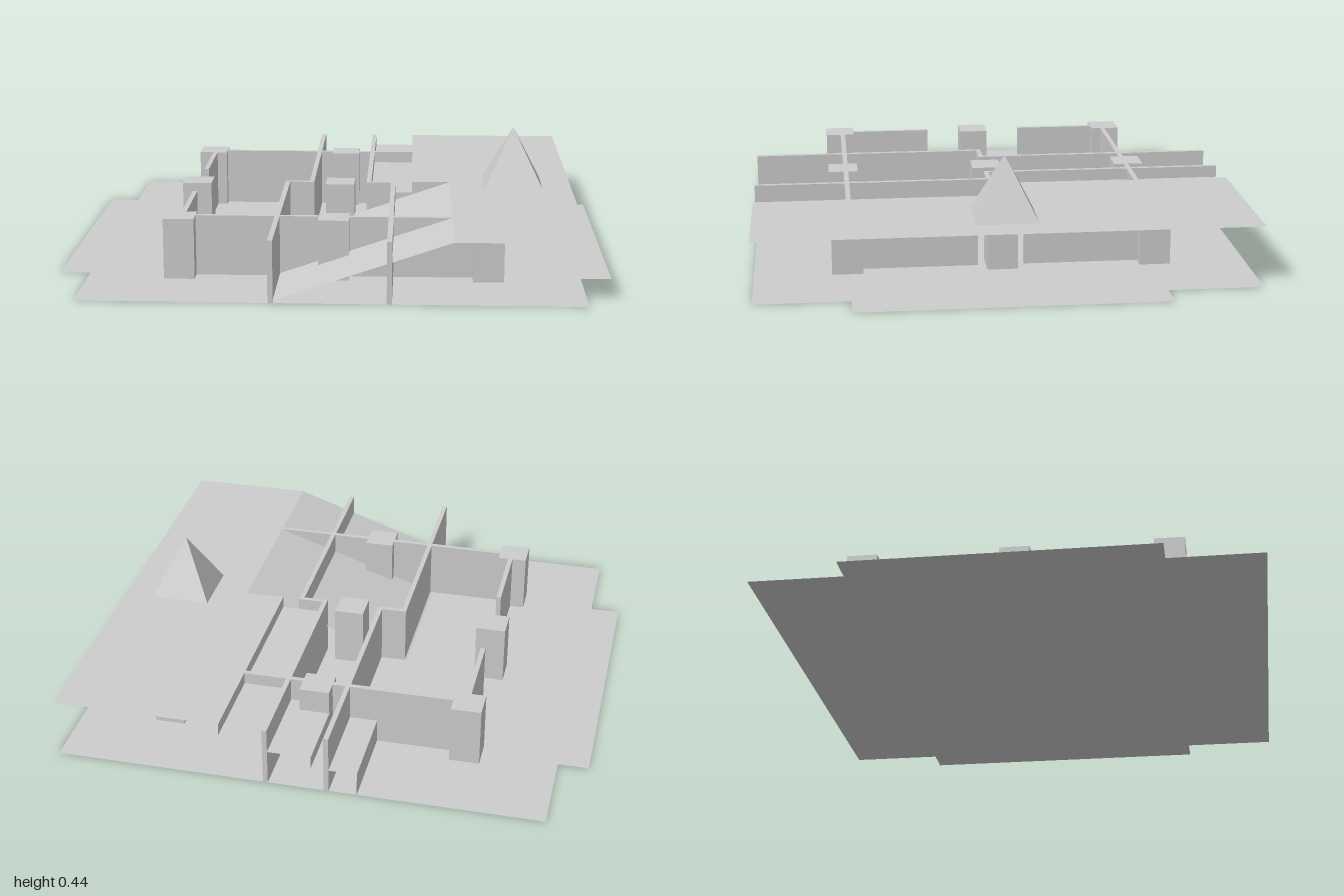
import * as THREE from 'three';

export function createModel() {
  const model = new THREE.Group();
  const concrete = new THREE.MeshStandardMaterial({ color: 0xcccccc, side: THREE.DoubleSide, flatShading: true });
  concrete.name = 'pale concrete grey';

  const H = 0.222; // storey height
  const E = 0.889; // half size of the square plan
  const T = 0.018; // wall thickness

  const add = (name, geometry) => {
    const mesh = new THREE.Mesh(geometry, concrete);
    mesh.name = name;
    model.add(mesh);
    return mesh;
  };
  // Upright block standing on the floor, given by its plan rectangle
  const block = (name, x0, x1, z0, z1) =>
    add(name, new THREE.BoxGeometry(x1 - x0, H, z1 - z0))
      .position.set((x0 + x1) / 2, H / 2, (z0 + z1) / 2);
  // Thin folded sheet: an [x, y] profile swept from z0 to z1
  const sheet = (name, profile, z0, z1) => {
    const pos = [];
    for (let i = 0; i < profile.length - 1; i++) {
      const [ax, ay] = profile[i], [bx, by] = profile[i + 1];
      pos.push(ax, ay, z0, ax, ay, z1, bx, by, z1, ax, ay, z0, bx, by, z1, bx, by, z0);
    }
    const g = new THREE.BufferGeometry();
    g.setAttribute('position', new THREE.Float32BufferAttribute(pos, 3));
    g.computeVertexNormals();
    add(name, g);
  };

  // Ground floor: a square with a shallow tab on the left and right
  const plan = [[-E, -E], [E, -E], [E, -0.55], [1, -0.55], [1, 0.55], [E, 0.55],
    [E, E], [-E, E], [-E, 0.55], [-1, 0.55], [-1, -0.55], [-E, -0.55]];
  const floor = new THREE.ShapeGeometry(new THREE.Shape(plan.map(([x, y]) => new THREE.Vector2(x, y))));
  add('groundFloor', floor.rotateX(-Math.PI / 2));

  // Nine square columns on a grid
  const C = 0.0555;
  for (const x of [-0.5555, 0, 0.5555])
    for (const z of [-0.5555, 0, 0.5555]) block('column', x - C, x + C, z - C, z + C);

  // Walls between the columns
  for (const s of [-1, 1]) {
    const z = s * 0.545;
    for (const [x0, x1] of [[-0.5, -C], [C, 0.5]]) block('crossWall', x0, x1, z - T / 2, z + T / 2);
    for (const [x, inner] of [[-0.548, 0.19], [0.548, 0.083]])
      block('sideWall', x - T / 2, x + T / 2, Math.min(s * inner, s * 0.5), Math.max(s * inner, s * 0.5));
  }

  // Corridor walls, which step outwards halfway along
  for (const s of [-1, 1]) {
    block('rearCorridorWall', s * 0.111 - T / 2, s * 0.111 + T / 2, -E, 0);
    block('frontCorridorWall', s * 0.205 - T / 2, s * 0.205 + T / 2, T, E);
    const a = s * 0.102, b = s * 0.214;
    block('corridorJog', Math.min(a, b), Math.max(a, b), 0, T);
  }

  // Front ramp rising into the upper floor
  sheet('rampAndUpperFloor', [[-0.222, 0], [0.425, H], [E, H]], 0, E);
  // Rear steps leading to the upper floor
  sheet('rearSteps', [[-0.222, 0], [-0.222, 0.089], [-0.056, 0.089], [-0.056, 0.133],
    [0.111, 0.133], [0.111, 0.178], [0.278, 0.178], [0.278, H], [E, H]], -E, -0.545);
  sheet('landingAndUpperFloor', [[0.111, 0.178], [0.278, 0.178], [0.278, H], [E, H]], -0.545, 0);

  // Upright sliver closing the gap beside the ramp
  const sliver = new THREE.Shape([[0.278, 0.172], [0.425, H], [0.278, H]].map(([x, y]) => new THREE.Vector2(x, y)));
  add('rampSidePanel', new THREE.ShapeGeometry(sliver));

  // Pyramid on the upper floor
  const pyramid = add('pyramid', new THREE.ConeGeometry(0.111 * Math.SQRT2, H, 4).rotateY(Math.PI / 4));
  pyramid.position.set(0.667, H * 1.5, 0);

  return model;
}
